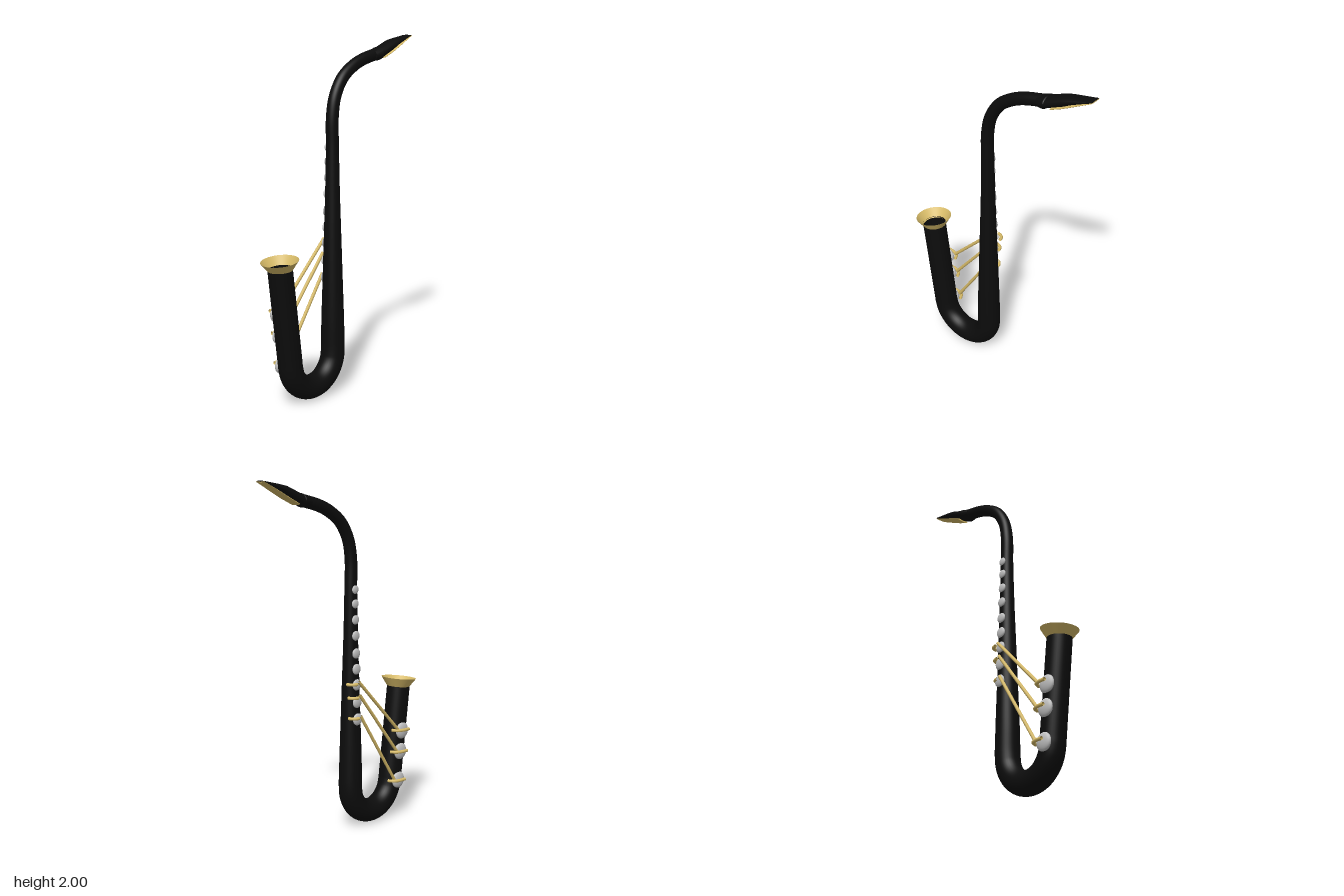
import * as THREE from 'three';
import { toCreasedNormals } from 'three/addons/utils/BufferGeometryUtils.js';

const V = (x, y, z) => new THREE.Vector3(x, y, z);
const CX = 0.002; // centre line of the tube

// Skin a list of equal-length closed rings
function loft(rings) {
  const n = rings[0].length, index = [];
  for (let i = 0; i < rings.length - 1; i++) {
    for (let j = 0; j < n; j++) {
      const a = i * n + j, b = i * n + (j + 1) % n;
      index.push(a, b, a + n, b, b + n, a + n);
    }
  }
  const g = new THREE.BufferGeometry().setFromPoints(rings.flat());
  g.setIndex(index);
  g.computeVertexNormals();
  return g;
}

// Sweep a circle along a path of (radius, y, z) points lying in the x = CX plane
function sweep(points, steps, sides) {
  const curve = new THREE.CatmullRomCurve3(points);
  const rings = [];
  for (let i = 0; i <= steps; i++) {
    const p = curve.getPoint(i / steps), t = curve.getTangent(i / steps);
    t.x = 0;
    t.normalize();
    const ring = [];
    for (let j = 0; j < sides; j++) {
      const a = j / sides * Math.PI * 2, s = p.x * Math.sin(a);
      ring.push(V(CX + p.x * Math.cos(a), p.y + s * t.z, p.z - s * t.y));
    }
    rings.push(ring);
  }
  return loft(rings);
}

// Elliptical sections [z, top, bottom, half width], running towards -z
function sections(list, sides = 32) {
  return loft(list.map(([z, top, bottom, w]) => {
    const ring = [];
    for (let j = 0; j < sides; j++) {
      const a = j / sides * Math.PI * 2;
      ring.push(V(CX + w * Math.cos(a), (top + bottom) / 2 - (top - bottom) / 2 * Math.sin(a), z));
    }
    return ring;
  }));
}

export function createModel() {
  const root = new THREE.Group();
  const mat = (name, color) => new THREE.MeshStandardMaterial({ name, color, side: THREE.DoubleSide });
  const black = mat('black lacquer', 0x0c0c0c);
  const gold = mat('gold brass', 0xd6ba68);
  const silver = mat('silver', 0xc0c0c0);

  const add = (name, geometry, material) => {
    const m = new THREE.Mesh(geometry, material);
    m.name = name;
    root.add(m);
    return m;
  };
  const tube = (name, pts, r, segs) =>
    add(name, new THREE.TubeGeometry(new THREE.CatmullRomCurve3(pts), segs, r, 10), gold);

  // Body: bell tube, bottom bow, tapering main tube and curved neck
  const path = [];
  for (let i = 0; i <= 4; i++) {
    const t = i / 4;
    path.push(V(0.068, 0.79 - 0.53 * t, 0.483 - 0.067 * t));
  }
  for (let i = 0; i <= 10; i++) {
    const a = THREE.MathUtils.degToRad(-7 - 17.3 * i);
    path.push(V(0.068, 0.24 + 0.172 * Math.sin(a), 0.24 + 0.172 * Math.cos(a)));
  }
  [[0.4, 0.065], [0.65, 0.057], [0.9, 0.049], [1.15, 0.041], [1.4, 0.036], [1.57, 0.035]]
    .forEach(([y, r]) => path.push(V(r, y, 0.068)));
  [[1.68, 0.045], [1.775, -0.015], [1.835, -0.1], [1.868, -0.18], [1.895, -0.29]]
    .forEach(([y, z]) => path.push(V(0.034, y, z)));
  add('body', sweep(path, 180, 36), black);

  // Flared bell rim
  const bell = add('bell', new THREE.CylinderGeometry(0.104, 0.067, 0.052, 48, 1, true), gold);
  bell.position.set(CX, 0.809, 0.482);
  bell.rotation.x = 0.12;

  // Mouthpiece with collar and beak
  add('mouthpiece', toCreasedNormals(sections([
    [-0.26, 1.888, 1.886, 0.002],
    [-0.262, 1.918, 1.858, 0.04],
    [-0.305, 1.932, 1.86, 0.052],
    [-0.315, 1.936, 1.864, 0.052],
    [-0.32, 1.934, 1.869, 0.049],
    [-0.42, 1.974, 1.913, 0.047],
    [-0.47, 1.984, 1.94, 0.043],
    [-0.585, 2.0, 1.995, 0.034],
    [-0.586, 1.998, 1.997, 0.001],
  ]), 0.5), black);

  // Reed along the underside
  add('reed', toCreasedNormals(sections([
    [-0.349, 1.88, 1.878, 0.001],
    [-0.35, 1.888, 1.873, 0.036],
    [-0.42, 1.92, 1.904, 0.039],
    [-0.48, 1.95, 1.934, 0.038],
    [-0.587, 1.997, 1.992, 0.034],
    [-0.5875, 1.995, 1.994, 0.001],
  ]), 0.5), gold);

  // Key cups: flattened domes on the right side of the tubes
  const dome = new THREE.SphereGeometry(1, 24, 16);
  const cup = (name, x, y, z, r) => {
    const m = add(name, dome, silver);
    m.position.set(x, y, z);
    m.scale.set(r * 0.4, r, r);
  };
  [1.4, 1.32, 1.23, 1.14, 1.04, 0.95, 0.86, 0.76, 0.66].forEach((y, i) => {
    const bodyRadius = 0.036 + Math.max(0, 1.3 - y) * 0.032;
    cup('bodyKeyCup', -bodyRadius + 0.003, y, 0.068, 0.024 + i * 0.0014);
  });

  // Bell keys, each linked by a rod to an arm on the main tube
  [
    { cupY: 0.525, cupZ: 0.446, low: [0.545, 0.392], high: [0.88, 0.065] },
    { cupY: 0.4, cupZ: 0.432, low: [0.415, 0.382], high: [0.8, 0.075] },
    { cupY: 0.225, cupZ: 0.415, low: [0.24, 0.366], high: [0.68, 0.08] },
  ].forEach(({ cupY, cupZ, low, high }) => {
    cup('bellKeyCup', -0.062, cupY, cupZ, 0.05);
    tube('keyRod', [V(-0.075, low[0], low[1]), V(-0.065, high[0], high[1])], 0.0095, 1);
    const y = low[0] - 0.008;
    tube('bellKeyArm', [V(-0.048, y, cupZ - 0.075), V(-0.08, y, cupZ - 0.058),
      V(-0.095, y, cupZ - 0.02), V(-0.097, y, cupZ + 0.022)], 0.0095, 16);
    const arc = [];
    for (let i = 0; i <= 6; i++) {
      const a = i / 6 * Math.PI / 2;
      arc.push(V(-0.028 - 0.04 * Math.cos(a), high[0] - 0.012, high[1] - 0.015 - 0.042 * Math.sin(a)));
    }
    tube('bodyKeyArm', arc, 0.0095, 16);
  });

  return root;
}
